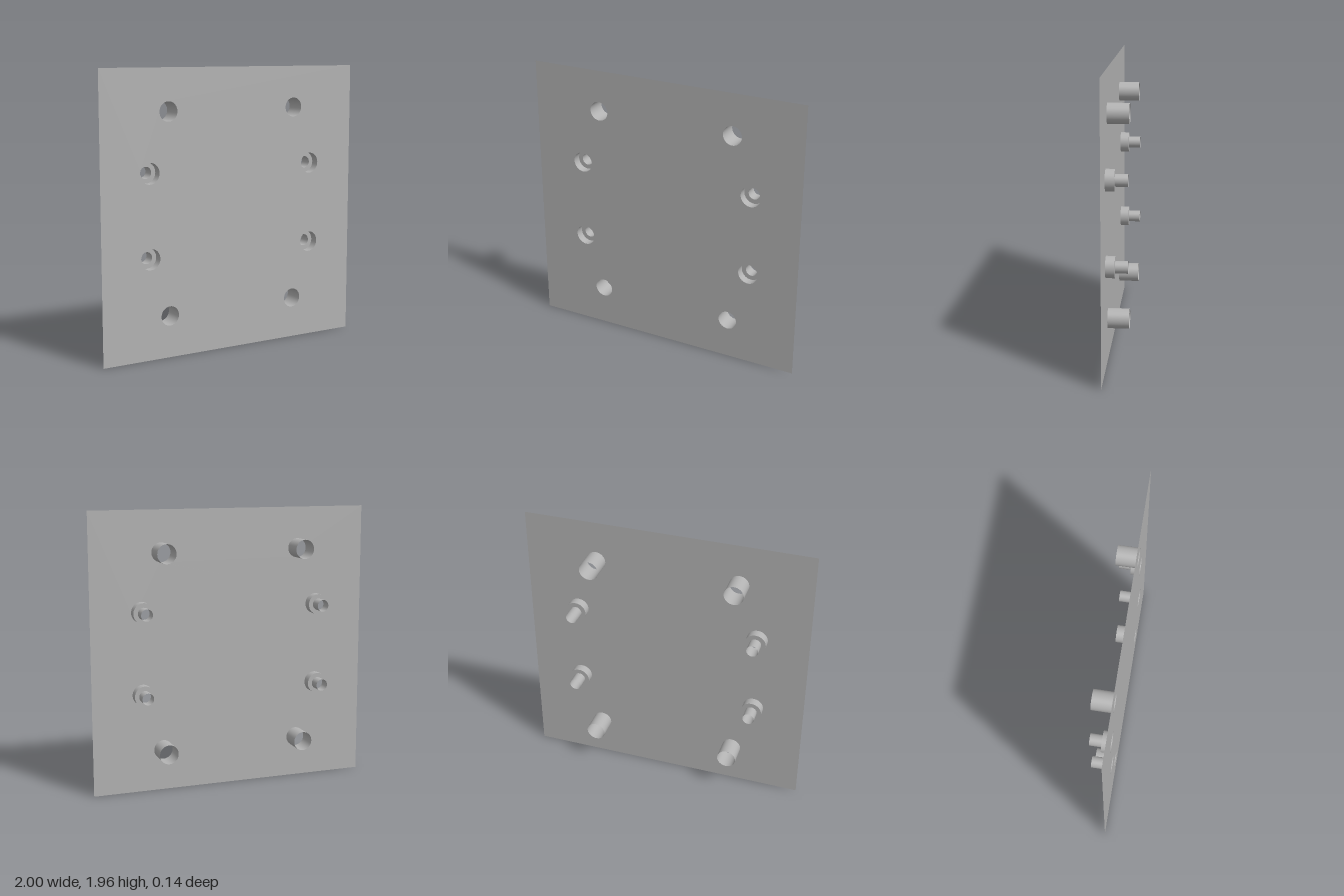
import * as THREE from 'three';

const HEIGHT = 1.957;
const FRONT = 0.072, STEP = 0.011, BACK = -0.072; // z of sheet, counterbore floor and tube ends
const BORE_R = 0.067, HEAD_R = 0.072, SHANK_R = 0.041;
const SEGMENTS = 40;

export function createModel() {
  const group = new THREE.Group();
  const grey = new THREE.MeshStandardMaterial({ color: 0xb2b2b2, side: THREE.DoubleSide });
  grey.name = 'plain grey';

  const add = (name, geometry, x, y, z) => {
    const mesh = new THREE.Mesh(geometry, grey);
    mesh.name = name;
    mesh.position.set(x, y, z);
    group.add(mesh);
  };

  // Open tube wall running along z
  const wall = (name, radius, x, y, z0, z1) => {
    const geometry = new THREE.CylinderGeometry(radius, radius, z0 - z1, SEGMENTS, 1, true);
    geometry.rotateX(Math.PI / 2);
    add(name, geometry, x, y, (z0 + z1) / 2);
  };

  // Thin face sheet, pierced below
  const sheet = new THREE.Shape([
    new THREE.Vector2(-1, 0), new THREE.Vector2(1, 0),
    new THREE.Vector2(1, HEIGHT), new THREE.Vector2(-1, HEIGHT),
  ]);
  const pierce = (x, y, radius) =>
    sheet.holes.push(new THREE.Path().absarc(x, y, radius, 0, Math.PI * 2, true));

  for (const sx of [-1, 1]) {
    for (const sy of [-1, 1]) {
      // Plain through holes near the corners
      const bx = sx * 0.5, by = HEIGHT / 2 + sy * 0.69;
      pierce(bx, by, BORE_R);
      wall('throughHole', BORE_R, bx, by, FRONT, BACK);

      // Counterbored screw holes near the sides
      const cx = sx * 0.643, cy = HEIGHT / 2 + sy * 0.287;
      pierce(cx, cy, HEAD_R);
      wall('counterboreWall', HEAD_R, cx, cy, FRONT, STEP);
      add('counterboreFloor', new THREE.RingGeometry(SHANK_R, HEAD_R, SEGMENTS), cx, cy, STEP);
      wall('screwHole', SHANK_R, cx, cy, STEP, BACK);
    }
  }
  add('faceSheet', new THREE.ShapeGeometry(sheet, SEGMENTS / 2), 0, 0, FRONT);

  return group;
}
